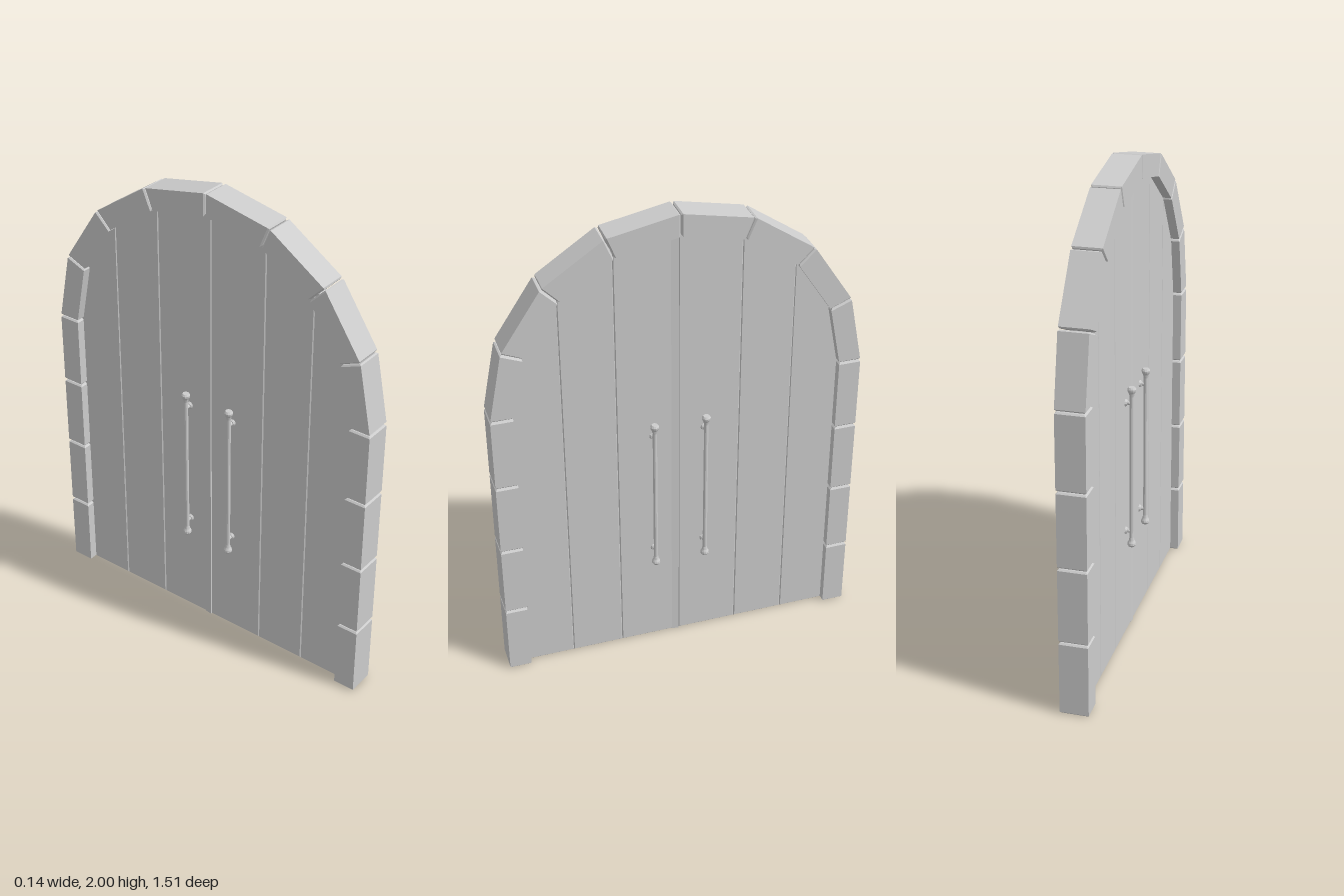
import * as THREE from 'three';

const SPRING = 1.245, R_OUT = 0.755, R_IN = 0.664; // arch centre height and radii
const HALF = 0.058;                                // half depth of the stone frame
const DOOR = 0.024;                                // half thickness of the planks

const grey = new THREE.MeshStandardMaterial({ color: 0xcccccc, flatShading: true });
grey.name = 'light grey';
const smoothGrey = grey; // one colour throughout

function add(parent, name, geometry, material = grey) {
  const mesh = new THREE.Mesh(geometry, material);
  mesh.name = name;
  parent.add(mesh);
  return mesh;
}

// Stone block between two joints, with its ends chamfered.
function stoneGeometry(a, b) {
  const length = a.out.distanceTo(b.out), chamfer = 0.006;
  const t0 = 0.002 / length, t1 = 0.008 / length;
  const pos = [], index = [];
  for (const [t, e] of [[t0, chamfer], [t1, 0], [1 - t1, 0], [1 - t0, chamfer]]) {
    const o = a.out.clone().lerp(b.out, t), i = a.in.clone().lerp(b.in, t);
    const inset = i.clone().sub(o).setLength(e);
    o.add(inset);
    i.sub(inset);
    const h = HALF - e;
    pos.push(h, o.y, o.x, h, i.y, i.x, -h, i.y, i.x, -h, o.y, o.x);
  }
  for (let s = 0; s < 3; s++) {
    for (let k = 0; k < 4; k++) {
      const p = s * 4 + k, q = s * 4 + (k + 1) % 4;
      index.push(p, q, q + 4, p, q + 4, p + 4);
    }
  }
  index.push(0, 2, 1, 0, 3, 2, 12, 13, 14, 12, 14, 15);
  const g = new THREE.BufferGeometry();
  g.setAttribute('position', new THREE.Float32BufferAttribute(pos, 3));
  g.setIndex(index);
  const flat = g.toNonIndexed();
  flat.computeVertexNormals();
  return flat;
}

// Joints run up one post, over the arch and down the other post.
function frameJoints() {
  const joint = (zo, yo, zi, yi) => ({ out: new THREE.Vector2(zo, yo), in: new THREE.Vector2(zi, yi) });
  const joints = [];
  for (let i = 0; i < 4; i++) joints.push(joint(R_OUT, SPRING * i / 4, R_IN, SPRING * i / 4));
  for (let i = 0; i <= 8; i++) {
    const c = Math.cos(i * Math.PI / 8), s = Math.sin(i * Math.PI / 8);
    joints.push(joint(R_OUT * c, SPRING + R_OUT * s, R_IN * c, SPRING + R_IN * s));
  }
  for (let i = 3; i >= 0; i--) joints.push(joint(-R_OUT, SPRING * i / 4, -R_IN, SPRING * i / 4));
  return joints;
}

// Upright plank whose top follows the arch and hides inside the stones.
function plankGeometry(z0, z1) {
  const bevel = 0.004, steps = 6;
  const shape = new THREE.Shape();
  shape.moveTo(z0, 0.002);
  shape.lineTo(z1, 0.002);
  for (let i = 0; i <= steps; i++) {
    const z = z1 + (z0 - z1) * i / steps;
    shape.lineTo(z, SPRING + Math.sqrt(0.69 * 0.69 - z * z));
  }
  shape.closePath();
  const g = new THREE.ExtrudeGeometry(shape, {
    depth: 2 * (DOOR - bevel), bevelEnabled: true, bevelThickness: bevel,
    bevelSize: bevel, bevelOffset: -bevel, bevelSegments: 1,
  });
  g.translate(0, 0, -(DOOR - bevel));
  return g.rotateY(-Math.PI / 2);
}

// Sloping cover strip along the meeting edge of the two leaves.
function coverStripGeometry() {
  const s = new THREE.Shape();
  s.moveTo(DOOR - 0.004, 0);
  s.lineTo(DOOR + 0.003, 0);
  s.lineTo(DOOR, -0.03);
  s.lineTo(DOOR - 0.004, -0.03);
  s.closePath();
  const g = new THREE.ExtrudeGeometry(s, { depth: 1.918, bevelEnabled: false });
  return g.rotateX(-Math.PI / 2);
}

// Pull bar with flared ends and two stand-offs.
function makeHandle(z) {
  const handle = new THREE.Group();
  handle.name = 'handle';
  const half = 0.348;
  const lower = [[0, 0], [0.013, 0], [0.018, 0.008], [0.017, 0.016], [0.012, 0.026], [0.009, 0.04]];
  const profile = [
    ...lower.map(([r, y]) => new THREE.Vector2(r, y - half)),
    ...lower.slice().reverse().map(([r, y]) => new THREE.Vector2(r, half - y)),
  ];
  add(handle, 'pullBar', new THREE.LatheGeometry(profile, 12), smoothGrey).position.set(0.05, 0.755, z);
  for (const y of [0.475, 1.035]) {
    const post = add(handle, 'standOff', new THREE.CylinderGeometry(0.008, 0.008, 0.032, 10), smoothGrey);
    post.rotation.z = -Math.PI / 2;
    post.position.set(0.036, y, z);
    const base = add(handle, 'standOffBase', new THREE.CylinderGeometry(0.011, 0.016, 0.01, 10), smoothGrey);
    base.rotation.z = -Math.PI / 2;
    base.position.set(DOOR + 0.004, y, z);
  }
  return handle;
}

export function createModel() {
  const model = new THREE.Group();
  model.name = 'archedDoor';

  // Stone surround
  const frame = new THREE.Group();
  frame.name = 'stoneFrame';
  frame.position.x = -0.002;
  const joints = frameJoints();
  for (let i = 0; i < joints.length - 1; i++) {
    const isArch = i >= 4 && i < 12;
    add(frame, isArch ? 'archStone' : 'postStone', stoneGeometry(joints[i], joints[i + 1]));
  }
  model.add(frame);

  // Two leaves of three planks each
  const edges = [-0.68, -0.47, -0.254, 0, 0.254, 0.47, 0.68];
  for (let i = 0; i < edges.length - 1; i++) {
    add(model, 'plank', plankGeometry(edges[i], edges[i + 1]));
  }

  // Fittings on both faces
  for (const turn of [0, Math.PI]) {
    const face = new THREE.Group();
    face.name = 'doorFittings';
    face.rotation.y = turn;
    const strip = add(face, 'coverStrip', coverStripGeometry());
    strip.position.y = 0.002;
    for (const z of [-0.107, 0.107]) face.add(makeHandle(z));
    model.add(face);
  }
  return model;
}
